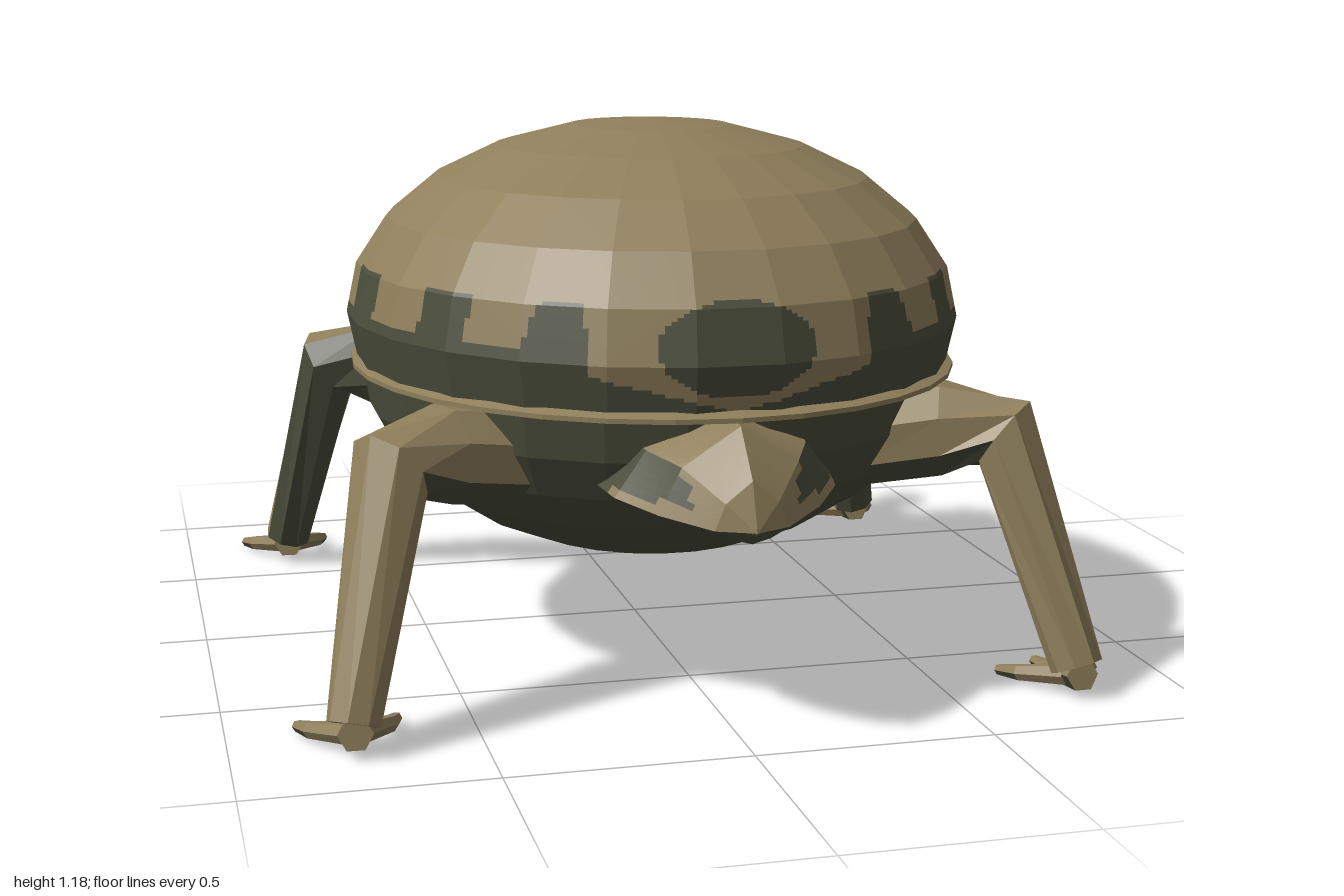
import * as THREE from 'three';

const V = (x, y, z) => new THREE.Vector3(x, y, z);
const paintOf = (name, hex) => {
  const m = new THREE.MeshStandardMaterial({ color: hex });
  m.name = name;
  return m;
};

// Flat-faced skin over rows of points; paint(centre, normal) picks the colour index of each small cell
function skin(name, rows, mats, paint = () => 0, sub = 1) {
  const buckets = mats.map(() => []);
  for (let i = 0; i + 1 < rows.length; i++) {
    for (let j = 0; j + 1 < rows[i].length; j++) {
      const at = (u, v) => rows[i][j].clone().lerp(rows[i][j + 1], u / sub)
        .lerp(rows[i + 1][j].clone().lerp(rows[i + 1][j + 1], u / sub), v / sub);
      for (let u = 0; u < sub; u++) for (let v = 0; v < sub; v++) {
        const a = at(u, v), b = at(u + 1, v), c = at(u + 1, v + 1), d = at(u, v + 1);
        const mid = at(u + 0.5, v + 0.5);
        const n = c.clone().sub(b).add(d).sub(a).cross(c.clone().sub(d).add(b).sub(a)).normalize();
        const out = buckets[paint(mid, n)];
        for (const t of [[a, d, c], [a, c, b]]) {
          if (new THREE.Triangle(...t).getArea() > 1e-10) t.forEach(p => out.push(p.x, p.y, p.z));
        }
      }
    }
  }
  const geo = new THREE.BufferGeometry();
  let start = 0;
  buckets.forEach((b, k) => {
    if (b.length) geo.addGroup(start, b.length / 3, k);
    start += b.length / 3;
  });
  geo.setAttribute('position', new THREE.BufferAttribute(new Float32Array(buckets.flat()), 3));
  geo.computeVertexNormals();
  const mesh = new THREE.Mesh(geo, mats);
  mesh.name = name;
  return mesh;
}

// Rows of an ellipsoid between two latitudes in degrees; a power below 1 squares its side profile
function ellipsoid(c, r, cols, lats, from = -90, to = 90, power = 1) {
  const bulge = v => Math.sign(v) * Math.abs(v) ** power;
  return Array.from({ length: lats + 1 }, (_, i) => {
    const lat = THREE.MathUtils.degToRad(from + (to - from) * i / lats);
    const w = bulge(Math.max(0, Math.cos(lat))), h = bulge(Math.sin(lat));
    return Array.from({ length: cols + 1 }, (_, j) => {
      const t = (j % cols + 0.5) / cols * Math.PI * 2;
      return V(c.x + r.x * w * Math.cos(t), c.y + r.y * h, c.z + r.z * w * Math.sin(t));
    });
  });
}

// Rows of a capped, tapering limb along a bent path
function limb(pts, radii, sides, ref) {
  const rows = pts.map((p, i) => {
    const T = V(0, 0, 0);
    if (i > 0) T.add(p.clone().sub(pts[i - 1]).normalize());
    if (i + 1 < pts.length) T.add(pts[i + 1].clone().sub(p).normalize());
    T.normalize();
    const U = ref.clone().addScaledVector(T, -ref.dot(T)).normalize();
    const W = U.clone().cross(T);
    return Array.from({ length: sides + 1 }, (_, j) => {
      const a = (j % sides + 0.5) / sides * Math.PI * 2;
      return p.clone().addScaledVector(U, Math.cos(a) * radii[i]).addScaledVector(W, Math.sin(a) * radii[i]);
    });
  });
  const cap = p => Array.from({ length: sides + 1 }, () => p.clone());
  return [cap(pts[0]), ...rows, cap(pts[pts.length - 1])];
}

export function createModel() {
  const model = new THREE.Group();
  model.name = 'shelledCreature';
  const brown = paintOf('brown skin', 0x8f7f5b);
  const dark = paintOf('dark olive', 0x4a4d3b);
  const tan = paintOf('pale tan', 0xc4b48e);
  const eyeGreen = paintOf('eye green', 0x1f2f27);

  // Domed shell with a notched dark border and an oval spot over the tail
  const notches = [[0.73, 0.825], [0.5, 0.62], [0.14, 0.31], [-0.15, 0.02], [-0.39, -0.28]];
  const shellPaint = p => {
    if (p.z > 0.5 && (p.x / 0.16) ** 2 + ((p.y - 0.785) / 0.095) ** 2 < 1) return 1;
    const nearSpot = p.z > 0.5 && Math.abs(p.x) < 0.29;
    if (p.y < (nearSpot ? 0.66 + 0.25 * Math.abs(p.x) : 0.78)) return 1;
    return !nearSpot && p.y < 0.87 && notches.some(([a, b]) => p.z > a && p.z < b) ? 1 : 0;
  };
  const shellMid = V(0, 0.755, 0.14), shellSize = V(0.675, 0.425, 0.75);
  model.add(skin('shellBorder', ellipsoid(shellMid, shellSize, 24, 3, -15, 30), [brown, dark], shellPaint, 14));
  model.add(skin('shellDome', ellipsoid(shellMid, shellSize, 24, 4, 30, 90), [brown]));

  // Thin rim under the shell
  const rimProfile = [[0.85, 0.625], [1, 0.643], [1, 0.653], [0.94, 0.67], [0.85, 0.66], [0.85, 0.625]]
    .map(([x, y]) => new THREE.Vector2(x, y));
  const rimGeo = new THREE.LatheGeometry(rimProfile, 32).scale(0.668, 1, 0.75).toNonIndexed();
  rimGeo.computeVertexNormals();
  const rim = new THREE.Mesh(rimGeo, brown);
  rim.position.z = 0.14;
  rim.name = 'shellRim';
  model.add(rim);

  // Rounded belly, closed on top
  const belly = ellipsoid(V(0, 0.635, 0.11), V(0.64, 0.424, 0.695), 24, 7, -90, 0);
  belly.push(belly[7].map(() => V(0, 0.635, 0.11)));
  model.add(skin('belly', belly, [dark]));

  // Blunt head from rings: depth and ring scale
  const headRows = [[-0.3, 0], [-0.3, 0.9], [-0.42, 1], [-0.55, 1], [-0.64, 0.96], [-0.72, 0.86], [-0.775, 0.66],
    [-0.795, 0.45], [-0.8, 0]].map(([z, k]) => Array.from({ length: 19 }, (_, j) => {
    const a = (j % 18 + 0.5) / 18 * Math.PI * 2;
    return V(0.37 * k * Math.cos(a), 0.652 + 0.272 * k * Math.sin(a), z);
  }));
  model.add(skin('head', headRows, [brown, dark], (p, n) => (p.y < 0.645 && n.z > -0.75 ? 1 : 0), 4));

  // Pale muzzle with a brown bridge, and the lower jaw
  model.add(skin('muzzle', ellipsoid(V(0, 0.637, -0.79), V(0.208, 0.108, 0.21), 14, 8, -90, 90, 0.75),
    [brown, tan], p => (Math.abs(p.x) < 0.125 && p.y > 0.68 && p.z > -0.97 ? 0 : 1), 4));
  model.add(skin('lowerJaw', ellipsoid(V(0, 0.459, -0.79), V(0.178, 0.082, 0.2), 14, 6, -90, 90, 0.75), [tan]));

  // Tail from cross-sections: depth, half width, ridge height, side height, underside height
  const tailRows = [[0.58, 0.27, 0.66, 0.5, 0.4], [0.78, 0.23, 0.65, 0.48, 0.4], [0.88, 0.165, 0.635, 0.465, 0.41],
    [0.965, 0.075, 0.545, 0.45, 0.42], [1.0, 0, 0.45, 0.45, 0.45]]
    .map(([z, w, top, side, low]) => {
      const shoulder = top * 0.55 + side * 0.45;
      return [V(0, top, z), V(w * 0.72, shoulder, z), V(w, side, z), V(w * 0.5, low + 0.01, z), V(0, low, z),
        V(-w * 0.5, low + 0.01, z), V(-w, side, z), V(-w * 0.72, shoulder, z), V(0, top, z)];
    });
  model.add(skin('tail', tailRows, [brown, dark], (p, n) => {
    const x = Math.abs(p.x);
    return n.y < -0.5 || (x > 0.11 && p.y > 0.49 && p.y < 0.44 + 0.9 * x) ? 1 : 0;
  }, 6));

  const legs = [
    { name: 'foreleg', side: -1, z: [-0.42, -0.46, -0.505, -0.632] },
    { name: 'hindLeg', side: 1, z: [0.51, 0.57, 0.64, 0.812] },
  ];
  for (const s of [1, -1]) {
    const tag = s > 0 ? 'left' : 'right';

    // Eye with a narrow slit on top
    model.add(skin(tag + 'Eye', ellipsoid(V(s * 0.285, 0.87, -0.65), V(0.057, 0.052, 0.072), 12, 8),
      [eyeGreen, brown],
      p => (p.y > 0.89 && Math.abs(p.x - s * 0.285) < 0.015 && Math.abs(p.z + 0.65) < 0.045 ? 1 : 0), 4));

    // Legs with dark thigh undersides and dark inner shins, each ending in three toes that point towards the head
    for (const { name, side, z } of legs) {
      const leg = new THREE.Group();
      leg.name = tag + name[0].toUpperCase() + name.slice(1);
      const path = [V(s * 0.37, 0.515, z[0]), V(s * 0.54, 0.54, z[1]), V(s * 0.655, 0.535, z[2]), V(s * 0.76, 0.065, z[3])];
      const thighEnd = s * 0.62;
      leg.add(skin('limb', limb(path, [0.105, 0.105, 0.09, 0.055], 8, V(0, 0, 1)), [brown, dark],
        (p, n) => ((s * p.x < s * thighEnd ? n.y < -0.6 : -side * n.z > 0.5) ? 1 : 0)));
      const f = z[3];
      leg.add(skin('foot', limb([V(s * 0.76, 0.055, f + 0.03), V(s * 0.755, 0.035, f - 0.08)],
        [0.036, 0.026], 6, V(0, 1, 0)), [brown, dark], (p, n) => (n.y < -0.5 ? 1 : 0)));
      for (const k of [-1, 0, 1]) {
        const reach = k ? 0.165 : 0.205;
        leg.add(skin('toe', limb([V(s * 0.757 + k * 0.015, 0.045, f - 0.01), V(s * 0.755 + k * 0.08, 0.026, f - 0.1),
          V(s * 0.755 + k * 0.1, 0.013, f - reach)], [0.023, 0.018, 0.012], 6, V(0, 1, 0)),
        [brown, dark], (p, n) => (n.y < -0.5 ? 1 : 0)));
      }
      model.add(leg);
    }
  }
  return model;
}
